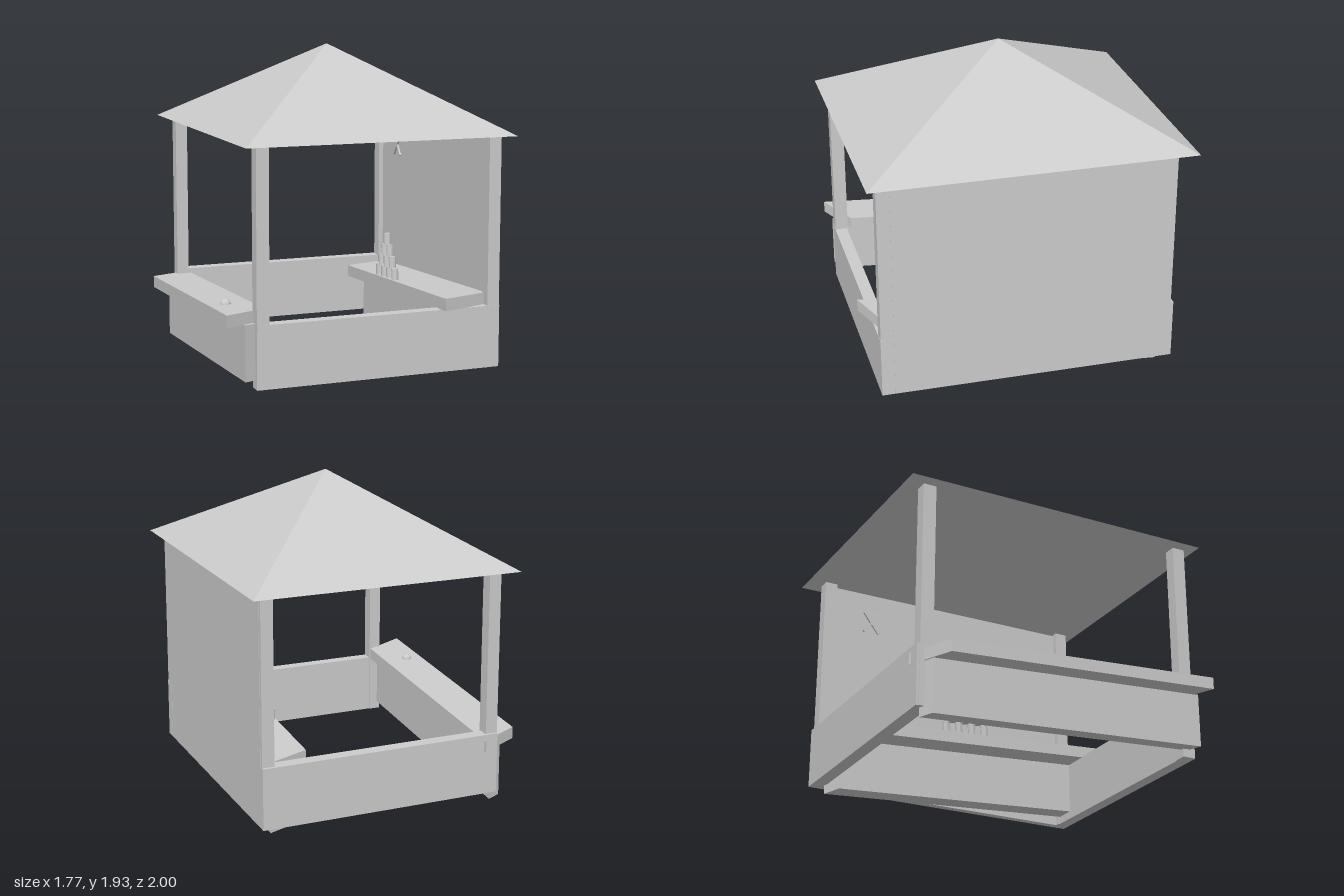
import * as THREE from 'three';

export function createModel() {
  const root = new THREE.Group();
  root.name = 'marketStall';
  const grey = new THREE.MeshStandardMaterial({ color: 0xcccccc, flatShading: true });
  const smooth = new THREE.MeshStandardMaterial({ color: 0xcccccc });

  // The frame is slightly skewed in plan and sits a little off centre.
  const skew = new THREE.Matrix4().set(
    1, 0, 0.018, 0.04,
    0, 1, 0, 0,
    -0.036, 0, 1, 0,
    0, 0, 0, 1);

  const add = (name, geometry, material = grey) => {
    const mesh = new THREE.Mesh(geometry, material);
    mesh.name = name;
    root.add(mesh);
    return mesh;
  };

  // Box of the frame, given by its limits.
  const frameBox = (name, x0, x1, y0, y1, z0, z1) => {
    const g = new THREE.BoxGeometry(x1 - x0, y1 - y0, z1 - z0);
    g.translate((x0 + x1) / 2, (y0 + y1) / 2, (z0 + z1) / 2);
    return add(name, g.applyMatrix4(skew));
  };

  // Board rising towards the front, with slanted ends.
  const RISE = 0.062;
  const board = (name, x0, x1, y0, y1, z0, z1, slant) => {
    const g = new THREE.BoxGeometry(1, 1, 1);
    const p = g.attributes.position;
    for (let i = 0; i < p.count; i++) {
      const t = p.getX(i) + 0.5;
      const z = (p.getZ(i) < 0 ? z0 : z1) - slant * t * (x1 - x0);
      const x = x0 + t * (x1 - x0) + 0.01 * z;
      p.setXYZ(i, x, (p.getY(i) < 0 ? y0 : y1) + RISE * z, z);
    }
    g.computeVertexNormals();
    return add(name, g);
  };

  // Roof
  const roof = new THREE.ConeGeometry(Math.SQRT2, 0.5, 4, 1);
  roof.rotateY(Math.PI / 4).scale(0.825, 1, 0.97).translate(0, 1.68, 0);
  add('roof', roof.applyMatrix4(skew));

  // Corner posts
  for (const [side, x0] of [['Left', 0.675], ['Right', -0.75]]) {
    frameBox('frontPost' + side, x0, x0 + 0.075, 0.06, 1.43, 0.828, 0.908);
    frameBox('backPost' + side, x0, x0 + 0.075, 0.06, 1.43, -0.866, -0.786);
  }

  // Low panels at front and back, and the full side wall
  frameBox('frontPanel', -0.745, 0.752, 0.06, 0.43, 0.835, 0.91);
  frameBox('backPanel', -0.745, 0.752, 0.06, 0.43, -0.882, -0.8);
  frameBox('sideWall', 0.705, 0.752, 0.06, 1.42, -0.84, 0.83);

  // Counters and the boards that carry them
  board('serviceCounter', -0.885, -0.625, 0.378, 0.45, -0.725, 0.97, 0.54);
  board('servicePanel', -0.77, -0.685, 0.055, 0.38, -0.78, 0.935, 0.5);
  board('shelf', 0.425, 0.735, 0.375, 0.448, -0.645, 0.957, 0.42);
  board('shelfPanel', 0.59, 0.715, 0.057, 0.376, -0.78, 0.885, 0.42);

  // Stack of cans on the shelf
  const can = new THREE.CylinderGeometry(0.022, 0.022, 0.07, 12);
  const stack = new THREE.Group();
  stack.name = 'canStack';
  for (let row = 0; row < 4; row++) {
    for (let i = 0; i < 4 - row; i++) {
      const z = (i - (3 - row) / 2) * 0.088 - 0.01;
      const mesh = new THREE.Mesh(can, grey);
      mesh.name = 'can';
      mesh.position.set(0.45, 0.485 + row * 0.07 + RISE * z, z);
      mesh.rotation.x = -RISE;
      stack.add(mesh);
    }
  }
  root.add(stack);

  // Bell on the service counter
  const bell = new THREE.SphereGeometry(0.032, 16, 8, 0, Math.PI * 2, 0, Math.PI / 2);
  add('counterBell', bell, smooth).position.set(-0.775, 0.485, 0.58);

  // Crossed rods on the inside of the wall
  for (const angle of [-0.65, 0.65]) {
    const rod = new THREE.BoxGeometry(0.012, 0.17, 0.014);
    rod.rotateX(angle).translate(0.699, 1.22, -0.53);
    add('wallRod', rod.applyMatrix4(skew));
  }

  return root;
}
